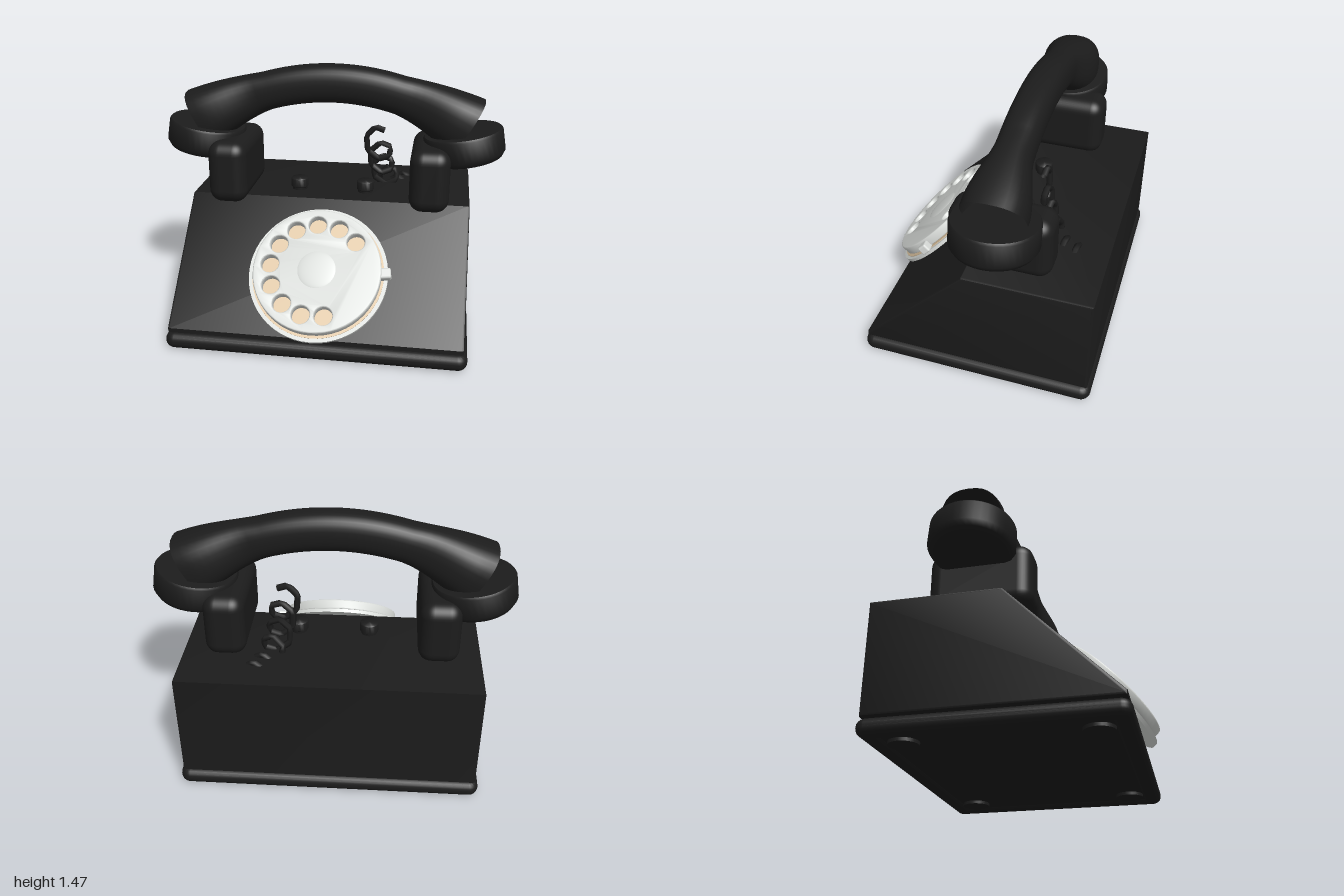
import * as THREE from 'three';
import { toCreasedNormals } from 'three/addons/utils/BufferGeometryUtils.js';
import { RoundedBoxGeometry } from 'three/addons/geometries/RoundedBoxGeometry.js';
import { ParametricGeometry } from 'three/addons/geometries/ParametricGeometry.js';

// Double-sided because the grip is an open tube
const black = new THREE.MeshStandardMaterial({ color: 0x1c1c1c, side: THREE.DoubleSide });
black.name = 'black bakelite';
const silver = new THREE.MeshStandardMaterial({ color: 0xd8dbd8 });
silver.name = 'silver grey';
const cream = new THREE.MeshStandardMaterial({ color: 0xdcc3a0 });
cream.name = 'cream card';

function add(parent, name, geometry, material, x = 0, y = 0, z = 0) {
  const mesh = new THREE.Mesh(geometry, material);
  mesh.name = name;
  mesh.position.set(x, y, z);
  parent.add(mesh);
  return mesh;
}

const lathe = (pairs, segments = 40) =>
  toCreasedNormals(new THREE.LatheGeometry(pairs.map(p => new THREE.Vector2(...p)), segments), 0.8);

// Disc whose axis is z, from z0 to z1
const disc = (r, z0, z1) =>
  new THREE.CylinderGeometry(r, r, z1 - z0, 56).rotateX(Math.PI / 2).translate(0, 0, (z0 + z1) / 2);

// Wedge-shaped housing: side profile in (z, y), extruded across x
function housing() {
  const b = 0.012;
  const shape = new THREE.Shape([
    [0.605, 0.1], [0.605, 0.125], [0.02, 0.715], [-0.673, 0.715], [-0.673, 0.1],
  ].map(p => new THREE.Vector2(...p)));
  const geo = new THREE.ExtrudeGeometry(shape, {
    depth: 1.62 - 2 * b, bevelThickness: b, bevelSize: b, bevelOffset: -b, bevelSegments: 2,
  });
  geo.translate(0, 0, -(0.81 - b)).rotateY(-Math.PI / 2);
  return toCreasedNormals(geo, 0.5);
}

// Rounded rail around the foot of the housing
function baseRail() {
  const b = 0.042, r = 0.012;
  const rect = (path, x, z) => path
    .absarc(x - r, z - r, r, 0, Math.PI / 2)
    .absarc(r - x, z - r, r, Math.PI / 2, Math.PI)
    .absarc(r - x, r - z, r, Math.PI, Math.PI * 1.5)
    .absarc(x - r, r - z, r, Math.PI * 1.5, Math.PI * 2);
  const shape = rect(new THREE.Shape(), 0.83 - b, 0.6575 - b);
  shape.holes.push(rect(new THREE.Path(), 0.77, 0.5975));
  const geo = new THREE.ExtrudeGeometry(shape, {
    depth: 0.006, bevelThickness: b, bevelSize: b, bevelSegments: 5, curveSegments: 4,
  });
  geo.rotateX(-Math.PI / 2).translate(0, b, 0);
  return toCreasedNormals(geo, 0.6);
}

// Finger wheel with ten holes
function fingerWheel() {
  const b = 0.007;
  const shape = new THREE.Shape().absarc(0, 0, 0.352, 0, Math.PI * 2);
  for (let i = 0; i < 10; i++) {
    const a = THREE.MathUtils.degToRad(41 + 27 * i);
    shape.holes.push(new THREE.Path().absarc(
      0.262 * Math.cos(a), 0.262 * Math.sin(a), 0.05, 0, Math.PI * 2, true));
  }
  const geo = new THREE.ExtrudeGeometry(shape, {
    depth: 0.057 - 2 * b, bevelThickness: b, bevelSize: b, bevelOffset: -b,
    bevelSegments: 3, curveSegments: 28,
  });
  geo.translate(0, 0, 0.013 + b);
  return toCreasedNormals(geo, 0.6);
}

function makeDial() {
  const dial = new THREE.Group();
  dial.name = 'dial';
  add(dial, 'dialBackPlate', disc(0.385, -0.015, 0.005), silver);
  add(dial, 'dialCard', disc(0.364, 0.002, 0.009), cream);
  add(dial, 'dialSpindle', disc(0.15, 0, 0.03), silver);
  add(dial, 'fingerWheel', fingerWheel(), silver);
  const hub = new THREE.SphereGeometry(0.11, 48, 12, 0, Math.PI * 2, 0, Math.PI / 2);
  add(dial, 'dialHub', hub.rotateX(Math.PI / 2).scale(1, 1, 0.12), silver, 0, 0, 0.066);
  add(dial, 'fingerStop', new RoundedBoxGeometry(0.075, 0.06, 0.055, 2, 0.012), silver, 0.365, 0.012, 0.03)
    .rotation.z = 0.12;
  dial.position.set(0, 0.415, 0.395);
  dial.rotation.x = -Math.PI / 4;
  return dial;
}

// Curved open-ended grip: rounded-square sections along a parabola, flared at both ends
function grip() {
  const end = 0.775, curve = 0.38;
  const soft = s => Math.sign(s) * Math.abs(s) ** 0.8;
  return new ParametricGeometry((u, v, p) => {
    const x = (u * 2 - 1) * end;
    const slope = Math.atan(-2 * curve * x);
    const t = THREE.MathUtils.clamp((Math.abs(x) - 0.38) / (end - 0.38), 0, 1) ** 1.25;
    const ry = 0.11 + 0.072 * t;
    const rz = 0.1 + 0.066 * THREE.MathUtils.smoothstep(Math.abs(x), 0.43, 0.75);
    const a = v * Math.PI * 2, c = soft(Math.cos(a)) * ry;
    p.set(x - Math.sin(slope) * c, 1.36 - curve * x * x + Math.cos(slope) * c, -rz * soft(Math.sin(a)));
  }, 40, 32);
}

function makeHandset() {
  const handset = new THREE.Group();
  handset.name = 'handset';
  handset.position.z = -0.155;
  add(handset, 'grip', grip(), black);
  for (const s of [-1, 1]) {
    const ear = lathe([[0, -0.085], [0.18, -0.085], [0.208, -0.075], [0.228, -0.045],
      [0.228, 0.072], [0.22, 0.084], [0, 0.085]]);
    add(handset, s > 0 ? 'earpiece' : 'mouthpiece', ear, black, s * 0.763, 1.025, 0)
      .rotation.z = s * 0.17;
  }
  return handset;
}

// Coiled cord: angular loops around a path that drops and runs to the back
function cord() {
  const path = new THREE.CatmullRomCurve3([
    [0.235, 1.02, -0.27], [0.27, 0.92, -0.285], [0.28, 0.83, -0.31], [0.31, 0.75, -0.35],
    [0.36, 0.66, -0.41], [0.4, 0.65, -0.48], [0.43, 0.67, -0.55],
  ].map(p => new THREE.Vector3(...p)));
  const coil = new THREE.CurvePath();
  const turns = 6, sides = 6, points = [];
  for (let i = 0; i <= turns * sides; i++) {
    const a = 0.55 + i / sides * Math.PI * 2;
    const p = path.getPoint(i / (turns * sides));
    points.push(p.add(new THREE.Vector3(0.07 * Math.cos(a), 0.075 * Math.sin(a), 0)));
  }
  for (let i = 1; i < points.length; i++) coil.add(new THREE.LineCurve3(points[i - 1], points[i]));
  return new THREE.TubeGeometry(coil, turns * sides * 3, 0.018, 6);
}

export function createModel() {
  const phone = new THREE.Group();
  phone.name = 'rotaryTelephone';

  // Base rail, floor and feet
  add(phone, 'baseRail', baseRail(), black, 0, 0, -0.0325);
  add(phone, 'baseFloor', new THREE.BoxGeometry(1.58, 0.068, 1.235), black, 0, 0.054, -0.0325);
  for (const x of [-0.62, 0.62]) for (const z of [-0.51, 0.45])
    add(phone, 'foot', new THREE.CylinderGeometry(0.08, 0.08, 0.03, 24), black, x, 0.017, z);

  add(phone, 'housing', housing(), black);
  phone.add(makeDial());

  // Cradle blocks and hook buttons
  for (const s of [-1, 1]) {
    add(phone, 'cradle', new RoundedBoxGeometry(0.225, 0.36, 0.555, 5, 0.075), black, s * 0.578, 0.87, -0.14);
    const button = lathe([[0, 0], [0.044, 0], [0.044, 0.022], [0.052, 0.028], [0.052, 0.075],
      [0.047, 0.08], [0, 0.08]], 20);
    add(phone, 'hookButton', button, black, s * 0.198, 0.705, -0.145);
  }

  phone.add(makeHandset());
  add(phone, 'cord', cord(), black);
  return phone;
}
